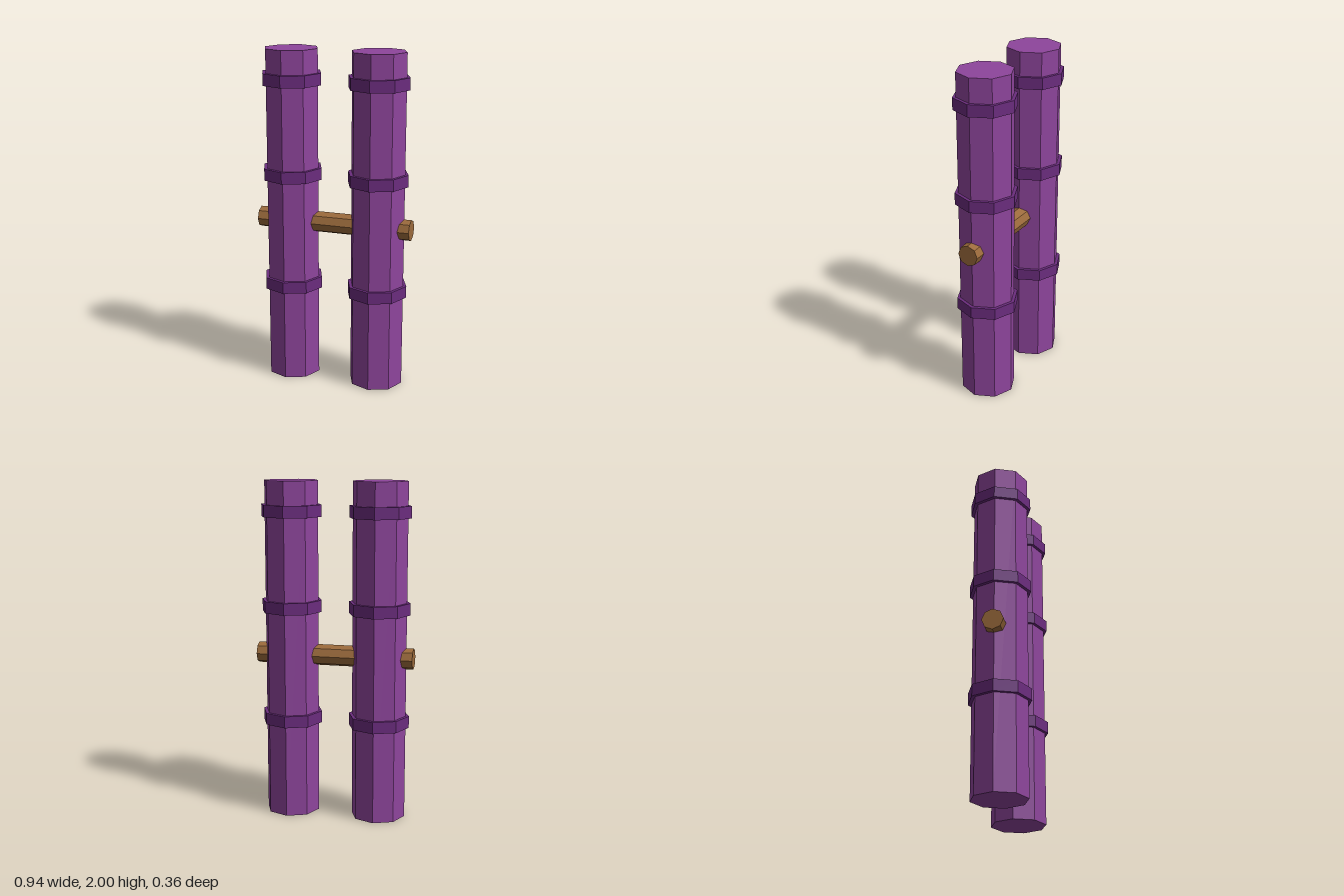
import * as THREE from 'three';

const material = (color) => new THREE.MeshStandardMaterial({ color, flatShading: true });

export function createModel() {
  const model = new THREE.Group();
  const tubeMat = material(0x8e459c);
  const bandMat = material(0x6b2c7e);
  const woodMat = material(0x9c6b3c);

  // Eight-sided prism with corners on the axes
  const prism = (name, radius, height, mat, parent) => {
    const mesh = new THREE.Mesh(new THREE.CylinderGeometry(radius, radius, height, 8), mat);
    mesh.name = name;
    parent.add(mesh);
    return mesh;
  };

  // Two upright tubes, each with three raised bands
  for (const [side, x] of [['left', 0.265], ['right', -0.265]]) {
    const column = new THREE.Group();
    column.name = side + 'Column';
    column.position.x = x;
    prism(side + 'Tube', 0.162, 2, tubeMat, column).position.y = 1;
    [0.59, 1.266, 1.825].forEach((y, i) => {
      prism(`${side}Band${i + 1}`, 0.182, 0.07, bandMat, column).position.y = y;
    });
    model.add(column);
  }

  // Wooden crossbar running through both tubes
  const bar = prism('crossbar', 0.063, 0.94, woodMat, model);
  bar.rotation.z = Math.PI / 2;
  bar.position.y = 0.973;

  return model;
}
